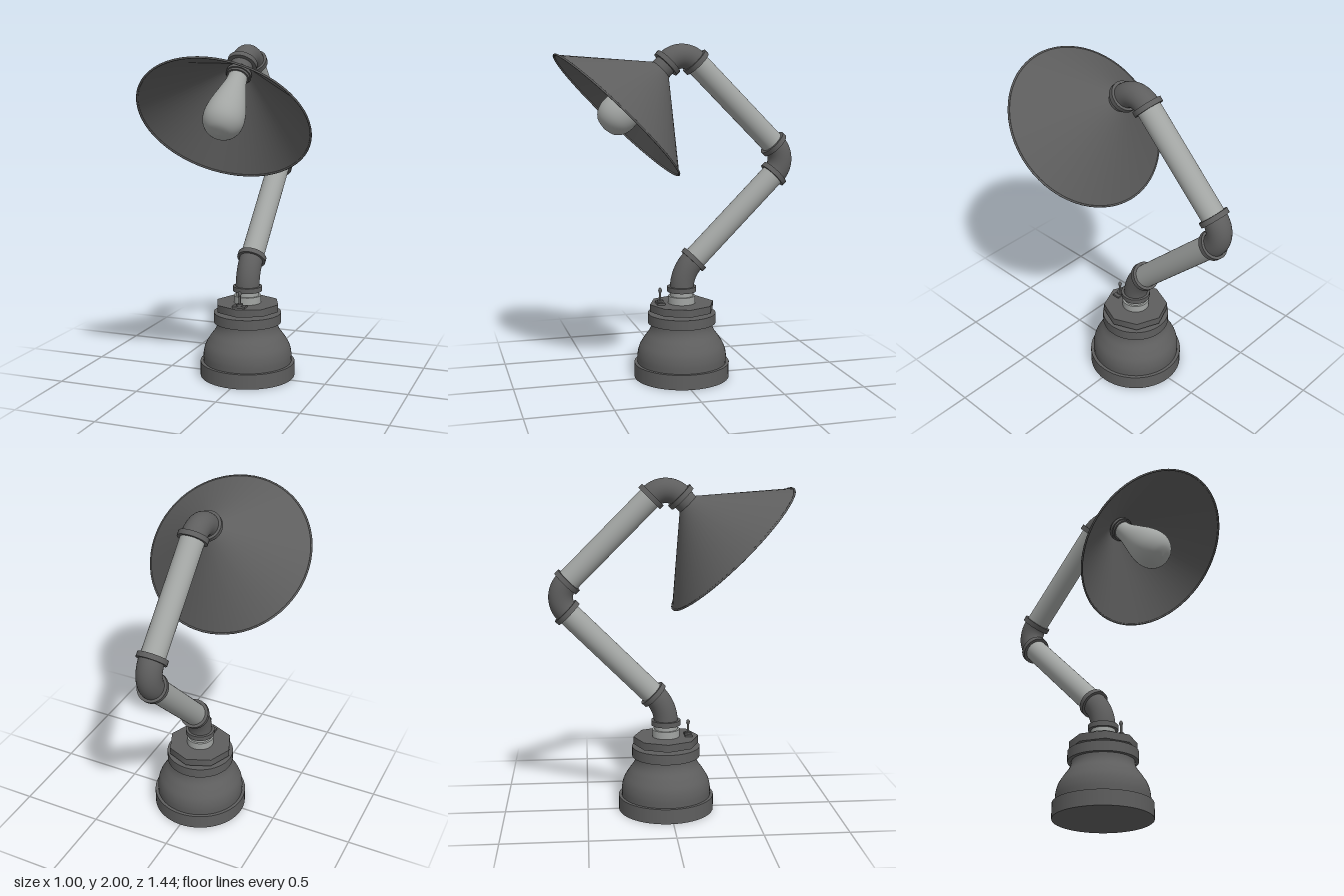
import * as THREE from 'three';

const iron = new THREE.MeshStandardMaterial({ color: 0x5e5e5e });
iron.name = 'dark iron';
const ironSheet = new THREE.MeshStandardMaterial({ color: 0x5e5e5e, side: THREE.DoubleSide });
ironSheet.name = 'dark iron sheet';
const steel = new THREE.MeshStandardMaterial({ color: 0xa2a5a3 });
steel.name = 'light steel';

const UP = new THREE.Vector3(0, 1, 0);
const PIPE = 0.07;
const at = (z, y) => new THREE.Vector3(0, y, z);
const along = (p, dir, d) => p.clone().addScaledVector(dir, d);

function add(parent, name, geometry, material) {
  const mesh = new THREE.Mesh(geometry, material);
  mesh.name = name;
  parent.add(mesh);
  return mesh;
}

// Upright cylinder between two heights on the parent's axis
function disc(parent, name, r, y0, y1, material = iron, sides = 48) {
  const mesh = add(parent, name, new THREE.CylinderGeometry(r, r, y1 - y0, sides), material);
  mesh.position.y = (y0 + y1) / 2;
  return mesh;
}

// Cylinder between any two points
function rod(parent, name, a, b, r, material) {
  const dir = b.clone().sub(a);
  const mesh = add(parent, name, new THREE.CylinderGeometry(r, r, dir.length(), 32), material);
  mesh.position.copy(a).lerp(b, 0.5);
  mesh.quaternion.setFromUnitVectors(UP, dir.normalize());
}

// Smooth turned shape from a few [radius, height] points
function turned(parent, name, points, material) {
  const curve = new THREE.SplineCurve(points.map(([r, y]) => new THREE.Vector2(r, y)));
  const profile = curve.getPoints(32).map(p => new THREE.Vector2(Math.max(p.x, 0), p.y));
  return add(parent, name, new THREE.LatheGeometry(profile, 48), material);
}

// Pipe elbow around a corner, with a collar on each end
function elbow(parent, name, corner, dirIn, dirOut, reach) {
  const angle = dirIn.angleTo(dirOut);
  const handle = (4 / 3) * Math.tan(angle / 4) / Math.tan(angle / 2);
  const curve = new THREE.CubicBezierCurve3(
    along(corner, dirIn, -reach), along(corner, dirIn, -reach * (1 - handle)),
    along(corner, dirOut, reach * (1 - handle)), along(corner, dirOut, reach));
  add(parent, name, new THREE.TubeGeometry(curve, 20, PIPE + 0.002, 32), iron);
  rod(parent, name + 'CollarIn', along(corner, dirIn, -reach - 0.015), along(corner, dirIn, -reach + 0.015), 0.088, iron);
  rod(parent, name + 'CollarOut', along(corner, dirOut, reach - 0.01), along(corner, dirOut, reach + 0.02), 0.088, iron);
}

export function createModel() {
  const lamp = new THREE.Group();
  lamp.name = 'pipeLamp';

  // Base: foot, bell, collar and octagonal nut
  const base = new THREE.Group();
  base.name = 'base';
  base.position.z = -0.022;
  lamp.add(base);
  disc(base, 'foot', 0.288, 0, 0.09);
  turned(base, 'bell', [[0.269, 0.09], [0.269, 0.14], [0.257, 0.19], [0.228, 0.24],
    [0.199, 0.28], [0.186, 0.31], [0.182, 0.34]], iron);
  disc(base, 'bellCollar', 0.205, 0.335, 0.395);
  disc(base, 'washer', 0.1, 0.39, 0.415);
  disc(base, 'octagonNut', 0.197, 0.41, 0.455, iron, 8);
  disc(base, 'stemSleeve', 0.082, 0.455, 0.5, steel);
  disc(base, 'stem', PIPE, 0.5, 0.55, steel);

  // Toggle switch on the nut
  const toggle = new THREE.Group();
  toggle.name = 'toggleSwitch';
  toggle.position.z = 0.135;
  base.add(toggle);
  add(toggle, 'switchPlate', new THREE.BoxGeometry(0.08, 0.012, 0.045), iron).position.y = 0.461;
  disc(toggle, 'switchNut', 0.02, 0.465, 0.478, iron, 16);
  disc(toggle, 'switchLever', 0.007, 0.475, 0.54, iron, 12);
  const tip = add(toggle, 'switchTip', new THREE.SphereGeometry(0.011, 16, 12), iron);
  tip.position.y = 0.538;
  tip.scale.y = 1.5;

  // Arm: three elbows joined by two straight pipes
  const low = at(-0.022, 0.642), mid = at(-0.69, 1.31), top = at(-0.022, 1.977);
  const back = at(-1, 1).normalize(), fore = at(1, 1).normalize(), down = at(1, -1).normalize();
  elbow(lamp, 'lowerElbow', low, UP, back, 0.1);
  rod(lamp, 'lowerPipe', along(low, back, 0.09), along(mid, back, -0.11), PIPE, steel);
  elbow(lamp, 'middleElbow', mid, back, fore, 0.125);
  rod(lamp, 'upperPipe', along(mid, fore, 0.11), along(top, fore, -0.11), PIPE, steel);
  elbow(lamp, 'upperElbow', top, fore, down, 0.12);

  // Head: its own y axis runs out through the shade
  const head = new THREE.Group();
  head.name = 'head';
  head.position.copy(top);
  head.quaternion.setFromUnitVectors(UP, down);
  lamp.add(head);
  disc(head, 'socketNeck', 0.066, 0.12, 0.23);
  disc(head, 'socketRing', 0.074, 0.195, 0.215);

  // Conical shade with a thin rolled rim
  const shade = add(head, 'shade', new THREE.CylinderGeometry(0.497, 0.064, 0.375, 64, 1, true), ironSheet);
  shade.position.y = 0.18 + 0.375 / 2;
  const rim = add(head, 'shadeRim', new THREE.TorusGeometry(0.495, 0.006, 8, 64), iron);
  rim.rotation.x = Math.PI / 2;
  rim.position.y = 0.553;

  // Pear-shaped bulb
  turned(head, 'bulb', [[0.055, 0.2], [0.06, 0.27], [0.085, 0.37], [0.108, 0.46],
    [0.117, 0.54], [0.103, 0.6], [0.063, 0.642], [0, 0.657]], steel);

  return lamp;
}
